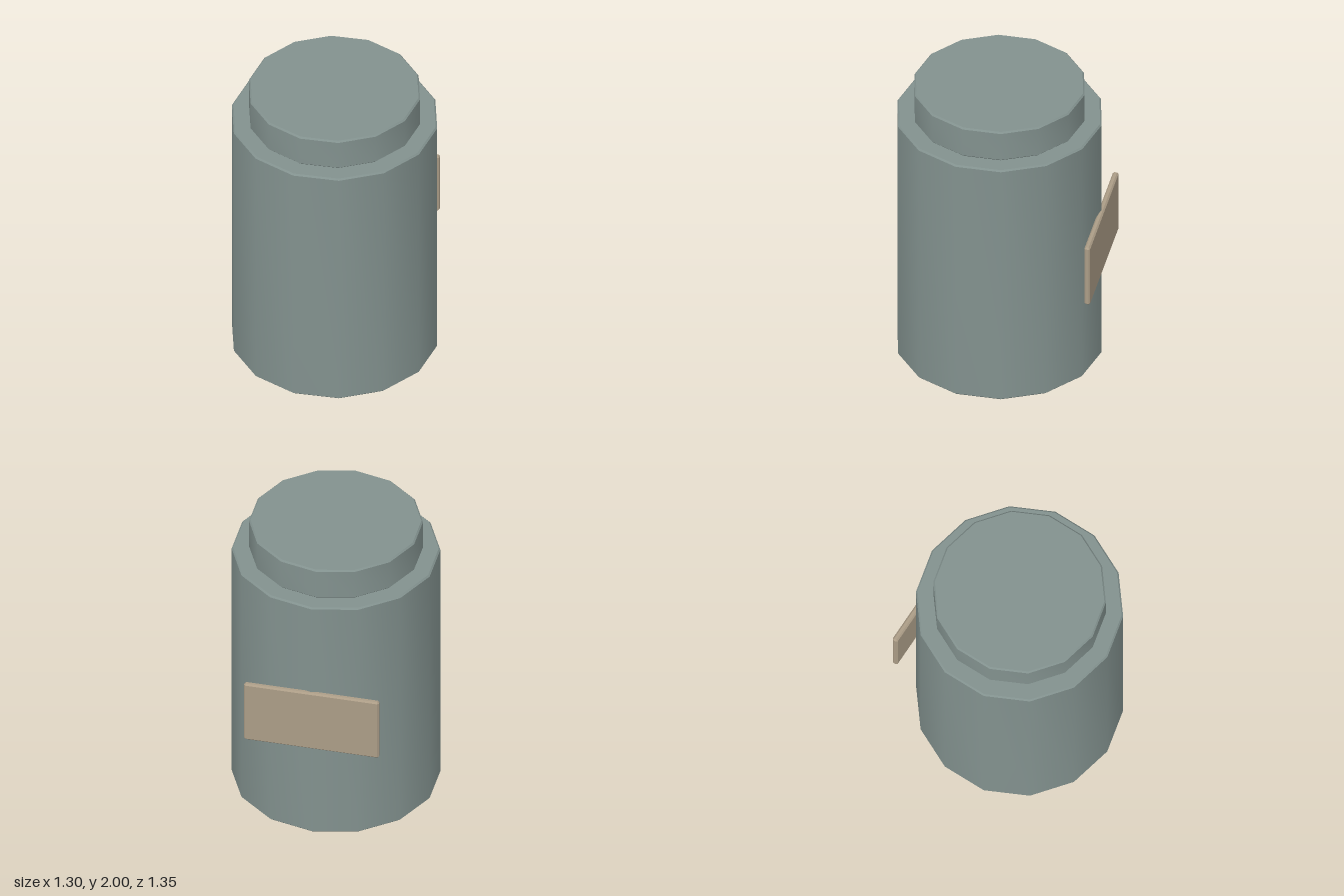
import * as THREE from 'three';
import { toCreasedNormals } from 'three/addons/utils/BufferGeometryUtils.js';
import { ConvexGeometry } from 'three/addons/geometries/ConvexGeometry.js';

const SIDES = 14;
const AXIS_Z = 0.01;
const BEVEL = 0.01;

// 14-sided drum with chamfered rims, smooth around its side
function drum(name, radius, bottom, top, material) {
  const profile = [
    [0, bottom], [radius - BEVEL, bottom], [radius, bottom + BEVEL],
    [radius, top - BEVEL], [radius - BEVEL, top], [0, top],
  ].map(([r, y]) => new THREE.Vector2(r, y));
  const geometry = toCreasedNormals(new THREE.LatheGeometry(profile, SIDES), 0.6);
  const mesh = new THREE.Mesh(geometry, material);
  mesh.name = name;
  mesh.position.z = AXIS_Z;
  return mesh;
}

// Box with every edge and corner chamfered
function chamferedBox(width, height, depth, bevel) {
  const half = [width / 2, height / 2, depth / 2];
  const points = [];
  for (const sx of [-1, 1]) for (const sy of [-1, 1]) for (const sz of [-1, 1]) {
    for (let full = 0; full < 3; full++) {
      const c = [sx, sy, sz].map((s, i) => s * (half[i] - (i === full ? 0 : bevel)));
      points.push(new THREE.Vector3(...c));
    }
  }
  return new ConvexGeometry(points);
}

export function createModel() {
  const group = new THREE.Group();
  group.name = 'canister';
  const metal = new THREE.MeshStandardMaterial({ color: 0x82918e });
  const tan = new THREE.MeshStandardMaterial({ color: 0xab9c86 });

  // Main body and the narrower lid on top
  group.add(drum('body', 0.667, 0, 1.78, metal));
  group.add(drum('lid', 0.556, 1.78, 2, metal));

  // Flat plate touching the back of the body
  const plate = new THREE.Mesh(chamferedBox(0.885, 0.44, 0.038, 0.01), tan);
  plate.name = 'backPlate';
  plate.position.set(0, 0.893, -0.656);
  group.add(plate);

  return group;
}
